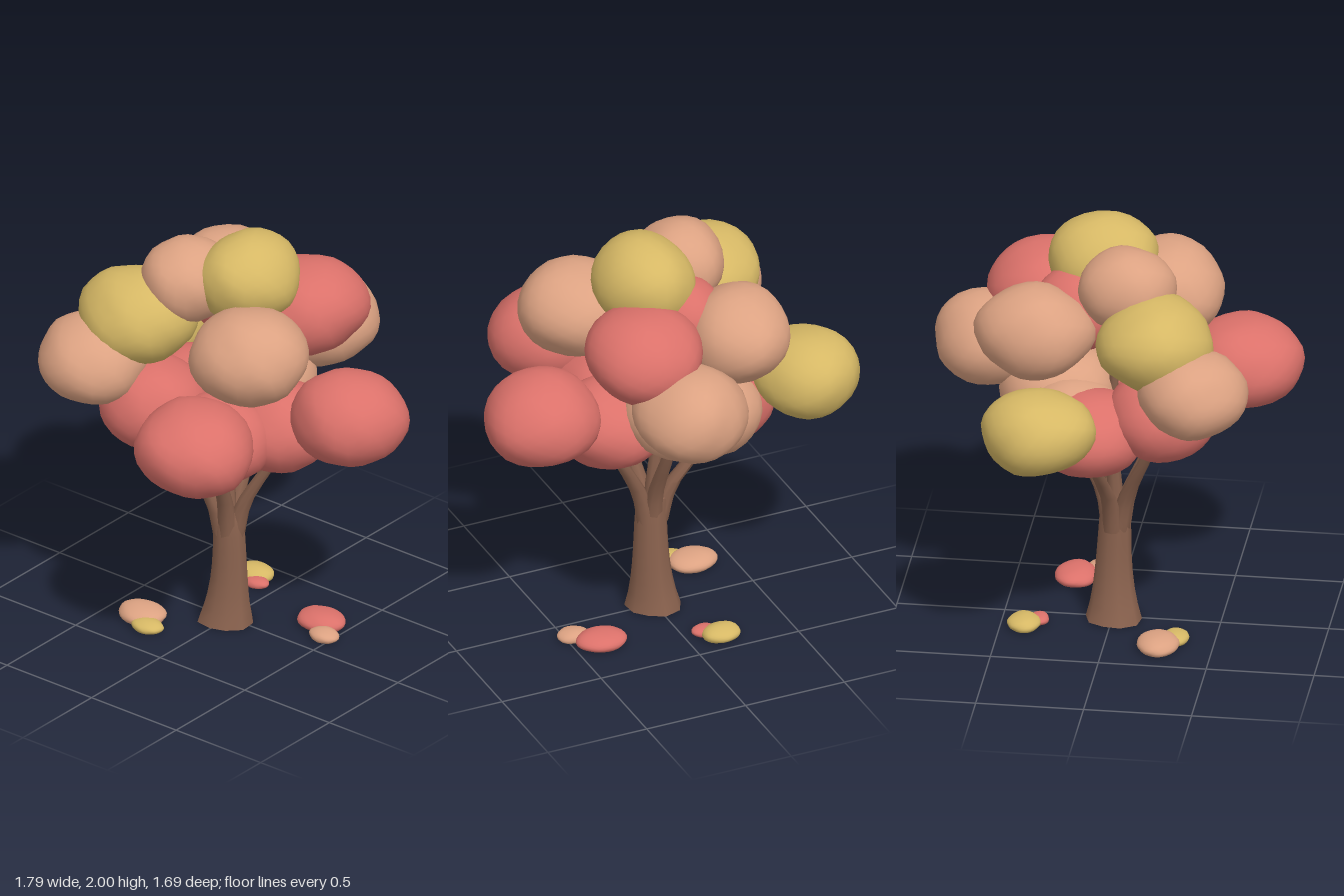
import * as THREE from 'three';
import { mergeVertices, toCreasedNormals } from 'three/addons/utils/BufferGeometryUtils.js';

const mat = (name, color) => {
  const m = new THREE.MeshStandardMaterial({ color });
  m.name = name;
  return m;
};

// Lumpy, softly boxy ellipsoid with smooth normals; optionally cut flat at its local floor
function lump(radii, seed, floor = -Infinity) {
  let g = new THREE.IcosahedronGeometry(1, 4);
  g.deleteAttribute('normal');
  g.deleteAttribute('uv');
  g = mergeVertices(g, 1e-4);
  const p = g.attributes.position;
  const v = new THREE.Vector3();
  for (let i = 0; i < p.count; i++) {
    v.fromBufferAttribute(p, i).normalize();
    const wave = Math.sin(3.1 * v.x + 2.3 * v.y + seed * 1.7)
      + Math.sin(3.7 * v.y - 2.9 * v.z + seed * 2.9)
      + Math.sin(4.3 * v.z + 2.1 * v.x + seed * 4.1)
      + 0.6 * Math.sin(7 * v.x - 6 * v.z + 5 * v.y + seed);
    v.multiplyScalar(1 + 0.018 * wave);
    p.setXYZ(i, v.x * radii[0], Math.max(v.y * radii[1], floor), v.z * radii[2]);
  }
  g.computeVertexNormals();
  return g;
}

// Tapering limb: a cylinder whose rings follow a curve
function limb(points, radius, sides, steps) {
  const curve = new THREE.CatmullRomCurve3(points.map((q) => new THREE.Vector3(...q)));
  const g = new THREE.CylinderGeometry(1, 1, 1, sides, steps);
  const p = g.attributes.position;
  for (let i = 0; i < p.count; i++) {
    const t = p.getY(i) + 0.5;
    const c = curve.getPoint(t);
    const r = radius(t, Math.atan2(p.getZ(i), p.getX(i)));
    p.setXYZ(i, c.x + p.getX(i) * r, c.y, c.z + p.getZ(i) * r);
  }
  return toCreasedNormals(g, 0.95);
}

export function createModel() {
  const tree = new THREE.Group();
  tree.name = 'autumnTree';
  const bark = mat('barkBrown', 0x8a624e);
  const red = mat('leafRed', 0xdb716a);
  const peach = mat('leafPeach', 0xdca282);
  const yellow = mat('leafYellow', 0xd6b865);

  const add = (parent, name, geometry, material, pos = [0, 0, 0]) => {
    const m = new THREE.Mesh(geometry, material);
    m.name = name;
    m.position.set(...pos);
    parent.add(m);
  };

  // Trunk with a flared, slightly lobed foot
  const trunkRadius = (t, a) => (0.066 + 0.022 * (1 - t) + 0.042 * (1 - t) ** 5)
    * (1 + 0.07 * (1 - t) * Math.sin(3 * a + 1));
  add(tree, 'trunk', limb([[-0.005, 0, 0.01], [0.01, 0.25, 0.005], [0.01, 0.5, 0.01], [0.005, 0.58, 0.01]],
    trunkRadius, 10, 10), bark);

  // Branches fanning out from the trunk top: point part-way up, then tip
  const branches = new THREE.Group();
  branches.name = 'branches';
  tree.add(branches);
  [
    [[-0.27, 0.88, -0.05], [-0.4, 1.12, -0.08]],
    [[0.22, 0.88, -0.06], [0.34, 1.12, -0.08]],
    [[-0.15, 0.88, 0.17], [-0.24, 1.15, 0.27]],
    [[0.08, 0.88, 0.18], [0.13, 1.15, 0.26]],
    [[0.01, 0.88, -0.17], [0, 1.15, -0.27]],
    [[-0.02, 0.9, 0], [-0.07, 1.42, 0.02]],
  ].forEach(([mid, tip]) => {
    const foot = [0.01 + mid[0] * 0.12, 0.45, 0.01 + mid[2] * 0.12];
    const low = [0.01 + mid[0] * 0.32, 0.62, 0.01 + mid[2] * 0.32];
    add(branches, 'branch', limb([foot, low, mid, tip], (t) => 0.048 - 0.03 * t, 8, 8), bark);
  });

  // Foliage clumps: colour, centre, radii
  const foliage = new THREE.Group();
  foliage.name = 'foliage';
  tree.add(foliage);
  [
    [yellow, [-0.65, 1.23, -0.26], [0.25, 0.2, 0.26]],
    [yellow, [-0.34, 1.57, 0.24], [0.28, 0.22, 0.27]],
    [yellow, [0.075, 1.785, -0.05], [0.23, 0.215, 0.26]],
    [peach, [-0.46, 1.38, 0.43], [0.26, 0.2, 0.25]],
    [peach, [-0.165, 1.75, 0.09], [0.21, 0.2, 0.23]],
    [peach, [0.295, 1.555, 0.21], [0.275, 0.22, 0.27]],
    [peach, [0.08, 1.355, -0.57], [0.26, 0.22, 0.275]],
    [peach, [-0.27, 1.56, -0.325], [0.25, 0.22, 0.275]],
    [peach, [0, 1.16, -0.25], [0.25, 0.21, 0.27]],
    [peach, [-0.2, 1.08, -0.16], [0.25, 0.2, 0.25]],
    [red, [0.62, 1.21, -0.11], [0.27, 0.22, 0.27]],
    [red, [0.265, 1.215, 0.575], [0.285, 0.215, 0.27]],
    [red, [0.21, 1.57, -0.33], [0.27, 0.22, 0.285]],
    [red, [-0.08, 1.6, -0.15], [0.2, 0.2, 0.21]],
    [red, [-0.24, 1.16, 0.26], [0.26, 0.215, 0.25]],
    [red, [0.12, 1.07, 0.24], [0.26, 0.205, 0.27]],
    [red, [0.25, 1.07, -0.06], [0.26, 0.21, 0.26]],
    [red, [-0.29, 1.07, -0.06], [0.26, 0.2, 0.25]],
  ].forEach(([m, c, r], i) => add(foliage, 'foliageClump', lump(r, i + 1), m, c));

  // Fallen leaf piles, flat on the ground: colour, x, z, radius, height
  const piles = new THREE.Group();
  piles.name = 'fallenLeaves';
  tree.add(piles);
  [
    [peach, -0.31, 0.25, 0.12, 0.07],
    [yellow, -0.22, 0.32, 0.08, 0.05],
    [red, 0.37, -0.22, 0.12, 0.07],
    [peach, 0.465, -0.12, 0.075, 0.05],
    [yellow, -0.16, -0.39, 0.095, 0.06],
    [red, -0.1, -0.33, 0.06, 0.04],
  ].forEach(([m, x, z, r, h], i) => {
    add(piles, 'leafPile', lump([r, h * 0.65, r * 0.8], i + 30, -h * 0.35), m, [x, h * 0.35, z]);
  });

  return tree;
}
